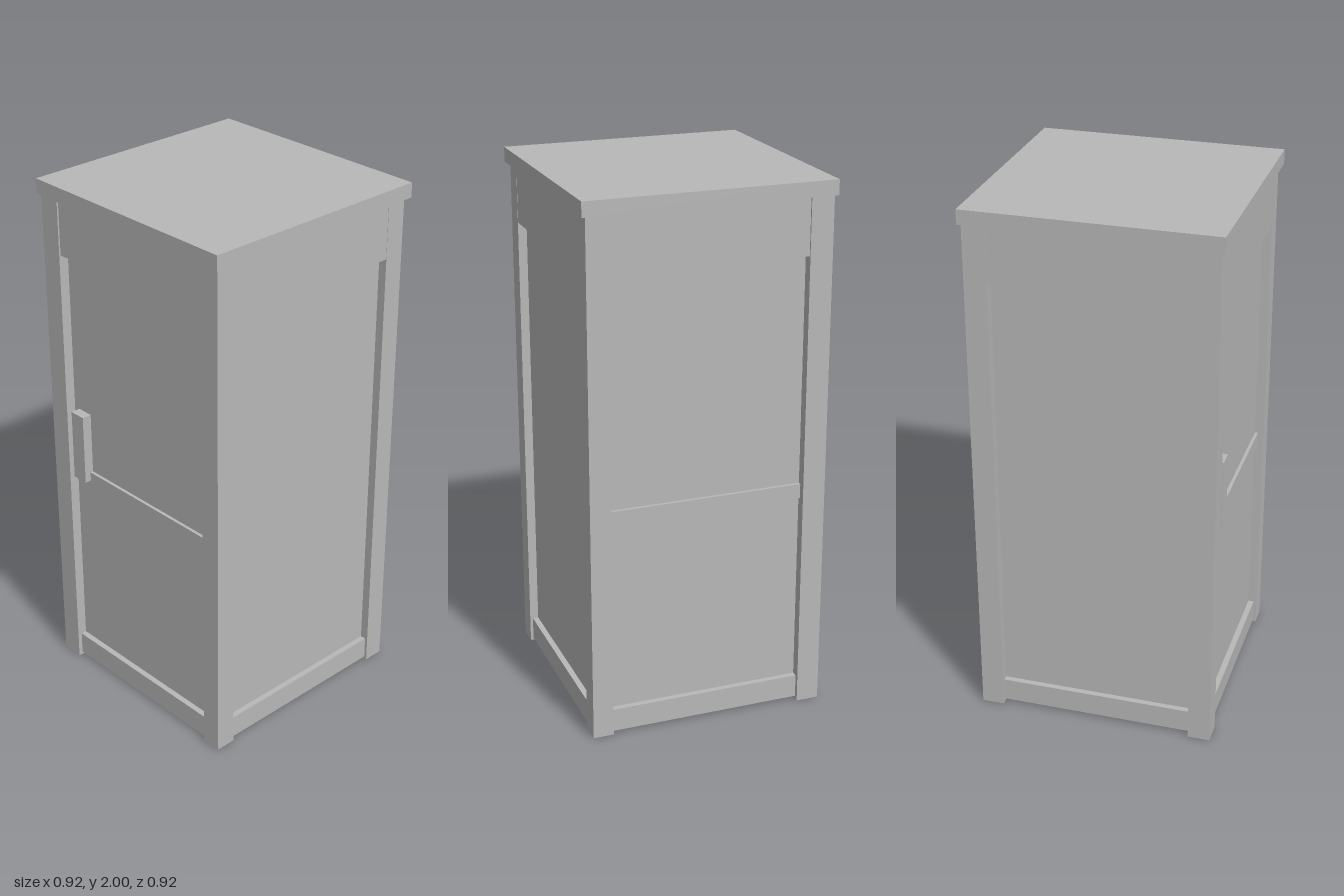
import * as THREE from 'three';

export function createModel() {
  const model = new THREE.Group();
  model.name = 'cabinetBooth';
  const grey = new THREE.MeshStandardMaterial({ color: 0xb8b8b8 });
  grey.name = 'grey';

  // Box given by its minimum and maximum on each axis
  const box = (name, [x0, x1], [y0, y1], [z0, z1], parent = model) => {
    const mesh = new THREE.Mesh(new THREE.BoxGeometry(x1 - x0, y1 - y0, z1 - z0), grey);
    mesh.position.set((x0 + x1) / 2, (y0 + y1) / 2, (z0 + z1) / 2);
    mesh.name = name;
    parent.add(mesh);
    return mesh;
  };

  // Flat roof and recessed core that forms the wall panels
  box('roof', [-0.46, 0.46], [1.945, 2], [-0.46, 0.46]);
  box('wallPanels', [-0.41, 0.41], [0.012, 1.945], [-0.41, 0.41]);

  // Corner posts; the pair on -x stands slightly proud
  for (const z of [-1, 1]) {
    const span = (a, b) => (z > 0 ? [a, b] : [-b, -a]);
    box('rightPost', [-0.45, -0.365], [0, 1.945], span(0.365, 0.448));
    box('leftPost', [0.365, 0.443], [0.004, 1.945], span(0.365, 0.443));
  }

  // Top and bottom rails all round
  box('topRail', [-0.442, 0.442], [1.735, 1.945], [-0.442, 0.442]);
  box('bottomRail', [-0.432, 0.432], [0.012, 0.1], [-0.432, 0.432]);

  // Thin middle rail across the front and back panels
  box('frontMiddleRail', [-0.365, 0.365], [0.825, 0.88], [0.4, 0.422]);
  box('backMiddleRail', [-0.365, 0.365], [0.825, 0.88], [-0.422, -0.4]);

  // Door handle
  box('doorHandle', [-0.34, -0.275], [0.845, 1.12], [0.405, 0.447]);

  return model;
}
